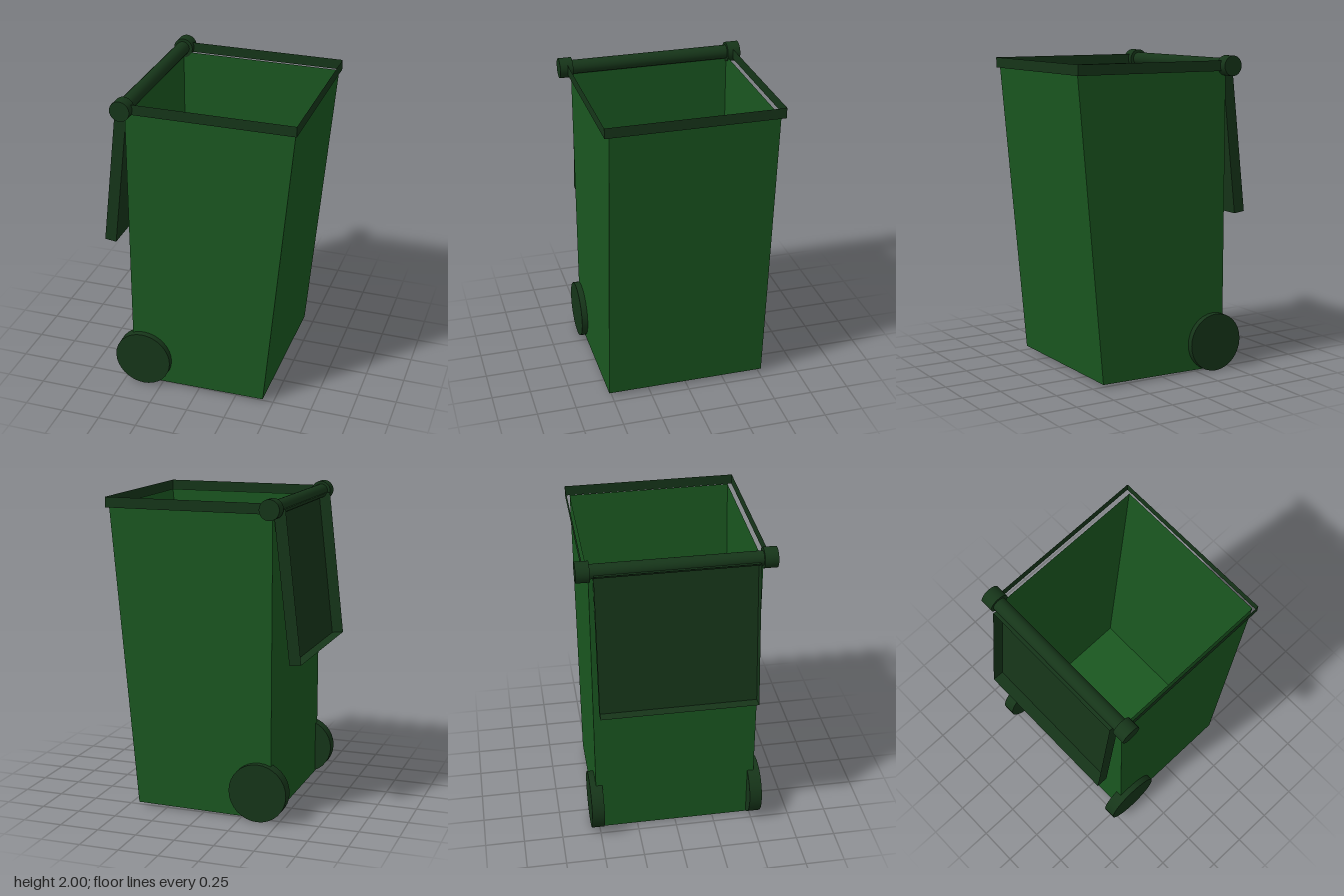
import * as THREE from 'three';

const green = new THREE.MeshStandardMaterial({ color: 0x1a5720, side: THREE.DoubleSide });
const darkGreen = new THREE.MeshStandardMaterial({ color: 0x163519, side: THREE.DoubleSide });

// Four corners of a rectangle, counter-clockwise seen from above
// (yA is the height at x0, yB the height at x1).
const ring = (x0, x1, z, yA, yB = yA) => [[x0, yA, z], [x1, yB, z], [x1, yB, -z], [x0, yA, -z]];

// Thin four-sided shell between two rings, open at the top, with an optional floor
function shell(low, high, floor = true) {
  const pos = [];
  const quad = (a, b, c, d) => pos.push(...a, ...b, ...c, ...a, ...c, ...d);
  for (let i = 0; i < 4; i++) {
    const j = (i + 1) % 4;
    quad(low[i], low[j], high[j], high[i]);
  }
  if (floor) quad(low[3], low[2], low[1], low[0]);
  const g = new THREE.BufferGeometry();
  g.setAttribute('position', new THREE.Float32BufferAttribute(pos, 3));
  g.computeVertexNormals();
  return g;
}

export function createModel() {
  const model = new THREE.Group();
  model.name = 'wheeledBin';

  const add = (name, geometry, material, x = 0, y = 0, z = 0) => {
    const mesh = new THREE.Mesh(geometry, material);
    mesh.name = name;
    mesh.position.set(x, y, z);
    model.add(mesh);
    return mesh;
  };
  // Cylinder lying along z
  const roller = (r, length) => new THREE.CylinderGeometry(r, r, length, 32).rotateX(Math.PI / 2);

  // Open container with one sloping wall
  add('body', shell(ring(-0.445, 0.435, 0.517, 0.014, 0.024), ring(-0.445, 0.604, 0.517, 1.91)), green);

  // Thin band around the mouth
  add('rim', shell(ring(-0.47, 0.616, 0.546, 1.905), ring(-0.47, 0.616, 0.546, 1.97), false), darkGreen);

  // Hinge rod with an end cap on each side, and the wheels
  add('hingeRod', roller(0.044, 1.04), darkGreen, -0.449, 1.937, 0);
  for (const [side, s] of [['front', 1], ['back', -1]]) {
    add(side + 'HingeCap', roller(0.063, 0.083), darkGreen, -0.447, 1.937, s * 0.553);
    add(side + 'Wheel', roller(0.185, 0.08), darkGreen, -0.369, 0.188, s * 0.516);
  }

  // Lid: a shallow tray hanging open from the hinge, hollow side outwards
  const lid = add('lid', shell(ring(-0.936, 0, 0.49, 0), ring(-0.936, 0, 0.49, 0.074)), darkGreen, -0.441, 1.925, 0);
  lid.rotation.z = Math.PI / 2 - 0.1145;

  return model;
}
